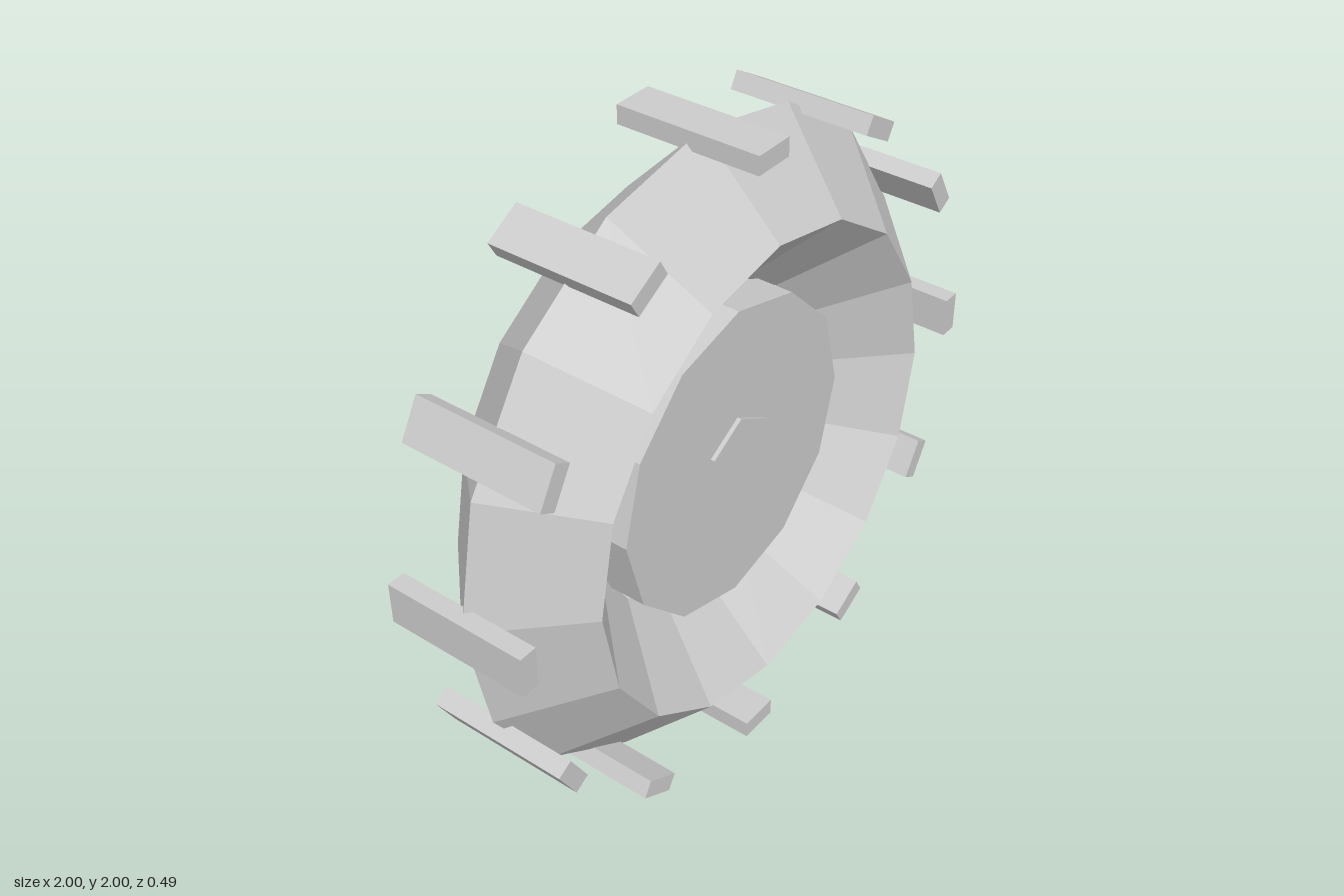
import * as THREE from 'three';

const material = new THREE.MeshStandardMaterial({ color: 0xcccccc, flatShading: true });

function addMesh(parent, name, geometry) {
  const mesh = new THREE.Mesh(geometry, material);
  mesh.name = name;
  parent.add(mesh);
  return mesh;
}

// Cylinder along z between two depths, with a corner at the top
function zCylinder(radius, zBack, zFront, sides) {
  return new THREE.CylinderGeometry(radius, radius, zFront - zBack, sides)
    .rotateX(Math.PI / 2)
    .translate(0, 0, (zBack + zFront) / 2);
}

export function createModel() {
  const model = new THREE.Group();
  model.name = 'wheel';

  const wheel = new THREE.Group();
  wheel.name = 'wheelAssembly';
  wheel.position.y = 1;
  model.add(wheel);

  // Tyre: low-poly ring with a diamond cross-section
  addMesh(wheel, 'tyre', new THREE.TorusGeometry(0.73, 0.245, 4, 16));

  // Hub disc and the hexagonal axle, which sticks out further at the back
  addMesh(wheel, 'hub', zCylinder(0.485, -0.122, 0.122, 12));
  addMesh(wheel, 'axle', zCylinder(0.14, -0.18, 0.135, 6));

  // Tread lugs around the rim
  const lugs = new THREE.Group();
  lugs.name = 'treadLugs';
  wheel.add(lugs);
  const lugGeometry = new THREE.BoxGeometry(0.055, 0.125, 0.44);
  const lugCount = 12;
  for (let i = 0; i < lugCount; i++) {
    const angle = (i / lugCount) * Math.PI * 2;
    const lug = addMesh(lugs, 'treadLug', lugGeometry);
    lug.position.set(Math.cos(angle) * 0.9725, Math.sin(angle) * 0.9725, 0);
    lug.rotation.z = angle;
  }

  return model;
}
